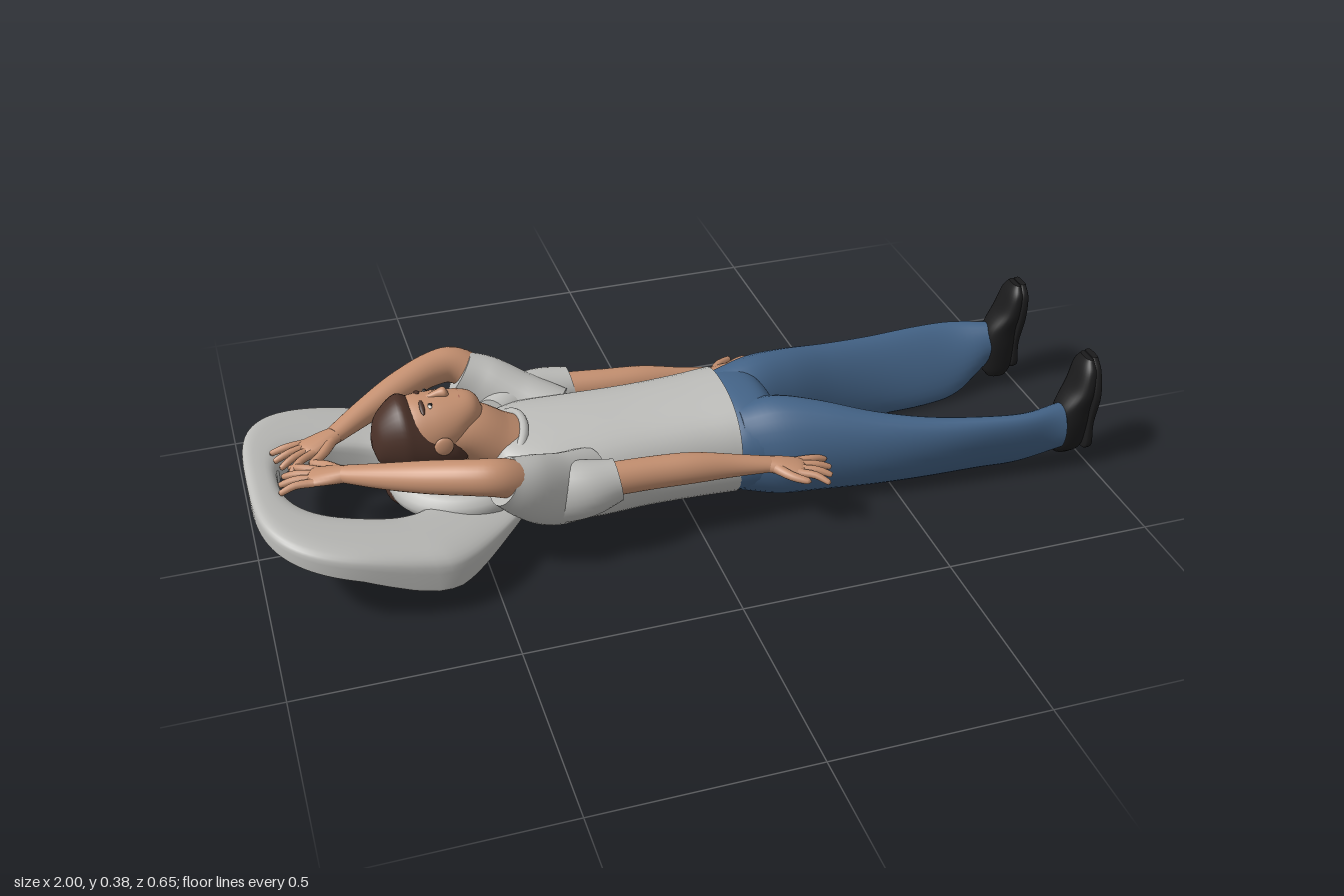
import * as THREE from 'three';

const paint = (name, color) => {
  const m = new THREE.MeshStandardMaterial({ color });
  m.name = name;
  return m;
};

export function createModel() {
  const model = new THREE.Group();
  model.name = 'recliningMan';
  const shirt = paint('light grey', 0xbdbdba), skin = paint('skin', 0xc69171);
  const denim = paint('denim blue', 0x446488), hair = paint('brown hair', 0x4a3128);
  const black = paint('shoe black', 0x1b1b1c), lip = paint('lip', 0xa86a58);
  const white = paint('eye white', 0xdcd6cf);
  const X = new THREE.Vector3(1, 0, 0), Y = new THREE.Vector3(0, 1, 0);

  function add(name, geometry, material, parent = model) {
    const mesh = new THREE.Mesh(geometry, material);
    mesh.name = name;
    parent.add(mesh);
    return mesh;
  }

  // Smooth skin through cross-sections [x, y, z, half height, half width, sideways lean].
  function loft(rows, { axis = null, up = Y, pow = 1, n = 28, steps = 6 } = {}) {
    const path = new THREE.CatmullRomCurve3(rows.map(r => new THREE.Vector3(r[0], r[1], r[2])), false, 'catmullrom');
    const size = new THREE.CatmullRomCurve3(rows.map(r => new THREE.Vector3(r[3], r[4], r[5] || 0)), false, 'catmullrom');
    const count = (rows.length - 1) * steps, pos = [], idx = [];
    const bend = v => Math.sign(v) * Math.abs(v) ** pow;
    for (let i = 0; i <= count; i++) {
      const c = path.getPoint(i / count), r = size.getPoint(i / count);
      const t = axis || path.getTangent(i / count);
      const side = t.clone().cross(up).normalize(), top = side.clone().cross(t).normalize();
      for (let j = 0; j < n; j++) {
        const a = j / n * Math.PI * 2, h = bend(Math.sin(a));
        const p = c.clone().addScaledVector(side, bend(Math.cos(a)) * r.y).addScaledVector(top, h * r.x);
        pos.push(p.x, p.y, p.z + h * r.z);
        if (i < count) {
          const k = i * n + j, l = i * n + (j + 1) % n;
          idx.push(k, k + n, l, l, k + n, l + n);
        }
      }
    }
    // End caps have their own rings so the rims stay crisp.
    for (const end of [0, 1]) {
      const first = pos.length / 3, from = end * count * n;
      for (let j = 0; j < n; j++) pos.push(...pos.slice((from + j) * 3, (from + j) * 3 + 3));
      const c = path.getPoint(end);
      pos.push(c.x, c.y, c.z);
      for (let j = 0; j < n; j++) {
        const a = first + j, b = first + (j + 1) % n;
        idx.push(first + n, end ? b : a, end ? a : b);
      }
    }
    const g = new THREE.BufferGeometry();
    g.setAttribute('position', new THREE.Float32BufferAttribute(pos, 3));
    g.setIndex(idx);
    g.computeVertexNormals();
    return g;
  }

  function blob(name, material, p, r) {
    const m = add(name, new THREE.SphereGeometry(1, 20, 14), material);
    m.position.set(...p);
    m.scale.set(...r);
    return m;
  }

  // Palm with four fanned fingers and a thumb, pointing along (dx, dz).
  function hand(name, p, dx, dz, pitch, thumb) {
    const g = new THREE.Group();
    g.name = name;
    g.position.set(...p);
    g.rotation.order = 'YXZ';
    g.rotation.set(0, Math.atan2(-dz, dx), pitch);
    model.add(g);
    add('palm', loft([[-0.01, 0, 0, 0.018, 0.021], [0.03, 0, 0, 0.017, 0.03], [0.07, 0, 0, 0.013, 0.034],
      [0.085, 0, 0, 0.006, 0.026]], { axis: X, n: 16, steps: 4 }), skin, g);
    for (let i = 0; i < 4; i++) {
      const k = i - 1.5, len = 0.08 - 0.008 * Math.abs(k);
      add('finger', loft([[0.065, 0, k * 0.016, 0.01, 0.01], [0.07 + len * 0.5, 0.004, k * 0.023, 0.009, 0.009],
        [0.066 + len, -0.003, k * 0.032, 0.007, 0.007], [0.07 + len, -0.004, k * 0.033, 0.002, 0.002]], { n: 10, steps: 3 }), skin, g);
    }
    add('thumb', loft([[0.015, 0, thumb * 0.015, 0.013, 0.013], [0.05, 0, thumb * 0.042, 0.011, 0.011],
      [0.085, 0, thumb * 0.055, 0.008, 0.008], [0.09, 0, thumb * 0.056, 0.002, 0.002]], { n: 10, steps: 3 }), skin, g);
  }

  // Ring cushion: rounded-square outline, flat below, sloping down towards the shoulders.
  const lerpAt = (table, x) => {
    const i = Math.max(1, table.findIndex(r => r[0] >= x)), [a, b] = [table[i - 1], table[i]];
    return THREE.MathUtils.lerp(a[1], b[1], (x - a[0]) / (b[0] - a[0]));
  };
  const under = [[-1.01, 0.19], [-0.8, 0.13], [-0.7, 0.085], [-0.65, 0.068], [-0.58, 0.064], [-0.45, 0.09], [-0.3, 0.1]];
  const around = 96, across = 32, pos = [], idx = [];
  const sq = (v, e) => Math.sign(v) * Math.abs(v) ** e;
  for (let i = 0; i < around; i++) {
    const a = i / around * Math.PI * 2, c = Math.cos(a), s = Math.sin(a);
    const ox = -0.69 + 0.31 * sq(c, 0.65);
    const oz = 0.325 * sq(s, 0.6) * (1 - 0.35 * THREE.MathUtils.smoothstep(ox, -0.62, -0.38));
    const ix = -0.76 + 0.17 * sq(c, 0.8), iz = 0.148 * sq(s, 0.8);
    for (let j = 0; j < across; j++) {
      const b = j / across * Math.PI * 2, e = Math.sin(b) < 0 ? 0.12 : 0.7;
      const t = 0.5 + 0.5 * sq(Math.cos(b), e);
      const x = ix + (ox - ix) * t, z = iz + (oz - iz) * t;
      const top = 0.13 + 0.2 * (-0.45 - x), low = lerpAt(under, x);
      pos.push(x, (top + low) / 2 + (top - low) / 2 * sq(Math.sin(b), e), z);
      const k = i * across + j, l = i * across + (j + 1) % across, w = around * across;
      idx.push(k, l, (k + across) % w, l, (l + across) % w, (k + across) % w);
    }
  }
  const ring = new THREE.BufferGeometry();
  ring.setAttribute('position', new THREE.Float32BufferAttribute(pos, 3));
  ring.setIndex(idx);
  ring.computeVertexNormals();
  add('ringCushion', ring, shirt);

  // Crescent bolster around the back of the head.
  const bolster = add('headBolster', new THREE.TorusGeometry(0.125, 0.045, 14, 48), shirt);
  bolster.rotation.x = Math.PI / 2;
  bolster.position.set(-0.52, 0.145, 0);
  bolster.scale.set(1, 1, 0.8);
  blob('napeSupport', skin, [-0.57, 0.16, 0], [0.11, 0.058, 0.075]);
  blob('napeHair', hair, [-0.62, 0.135, 0], [0.075, 0.048, 0.065]);

  // Shirt body and collar
  add('shirtBody', loft([[-0.45, 0.17, 0, 0.06, 0.09], [-0.42, 0.165, 0, 0.085, 0.14], [-0.35, 0.15, 0, 0.108, 0.175],
    [-0.24, 0.138, 0, 0.125, 0.17], [-0.1, 0.138, 0, 0.128, 0.158], [0.02, 0.139, 0, 0.132, 0.158],
    [0.115, 0.141, 0, 0.136, 0.164]], { axis: X, pow: 0.85, n: 40 }), shirt);
  const collar = add('collar', new THREE.TorusGeometry(0.077, 0.011, 10, 40), shirt);
  collar.rotation.set(0, Math.PI / 2, -0.75, 'ZYX');
  collar.position.set(-0.415, 0.212, 0);
  collar.scale.set(1.1, 0.9, 1);

  // Neck and head, face turned up
  add('neck', loft([[-0.58, 0.265, 0, 0.055, 0.068], [-0.5, 0.263, 0, 0.064, 0.07], [-0.43, 0.222, 0, 0.064, 0.073],
    [-0.36, 0.19, 0, 0.06, 0.078]]), skin);
  add('head', loft([[-0.7, 0.27, 0, 0.025, 0.025], [-0.68, 0.275, 0, 0.062, 0.054], [-0.63, 0.28, 0, 0.085, 0.075],
    [-0.58, 0.285, 0, 0.084, 0.079], [-0.53, 0.298, 0, 0.068, 0.069], [-0.49, 0.314, 0, 0.046, 0.048],
    [-0.47, 0.314, 0, 0.03, 0.03], [-0.46, 0.31, 0, 0.008, 0.008]], { axis: X, n: 36 }), skin);
  add('hair', loft([[-0.715, 0.27, 0, 0.015, 0.015], [-0.7, 0.273, 0, 0.058, 0.05], [-0.655, 0.28, 0, 0.093, 0.079],
    [-0.62, 0.27, 0, 0.091, 0.086], [-0.575, 0.254, 0, 0.073, 0.086], [-0.53, 0.242, 0, 0.052, 0.076],
    [-0.5, 0.235, 0, 0.03, 0.05]], { axis: X, n: 36 }), hair);
  add('nose', loft([[-0.587, 0.362, 0, 0.006, 0.007], [-0.56, 0.37, 0, 0.009, 0.01], [-0.543, 0.371, 0, 0.012, 0.014],
    [-0.534, 0.364, 0, 0.006, 0.008]], { axis: X, n: 14 }), skin);
  blob('mouth', lip, [-0.513, 0.36, 0], [0.006, 0.004, 0.02]);
  for (const s of [1, -1]) {
    blob('eye', white, [-0.582, 0.3605, s * 0.031], [0.005, 0.004, 0.012]);
    blob('iris', black, [-0.581, 0.363, s * 0.031], [0.005, 0.003, 0.006]);
    blob('eyebrow', hair, [-0.6, 0.36, s * 0.033], [0.006, 0.004, 0.021]).rotation.x = s * 0.4;
    blob('ear', skin, [-0.565, 0.28, s * 0.082], [0.022, 0.023, 0.008]);
  }

  for (const s of [1, -1]) {
    // Arm folded overhead
    add('raisedSleeve', loft([[-0.26, 0.155, s * 0.14, 0.085, 0.068], [-0.34, 0.187, s * 0.187, 0.085, 0.064],
      [-0.41, 0.234, s * 0.222, 0.074, 0.058], [-0.465, 0.268, s * 0.236, 0.056, 0.05]]), shirt);
    add('raisedArm', loft([[-0.4, 0.24, s * 0.22, 0.042, 0.042], [-0.47, 0.284, s * 0.245, 0.044, 0.041],
      [-0.53, 0.291, s * 0.235, 0.041, 0.039], [-0.62, 0.281, s * 0.19, 0.037, 0.037],
      [-0.71, 0.266, s * 0.135, 0.029, 0.03], [-0.79, 0.252, s * 0.08, 0.019, 0.023]]), skin);
    hand('raisedHand', [-0.79, 0.252, s * 0.08], -1, -s * 0.35, -0.13, s);
    // Arm resting along the body
    add('loweredSleeve', loft([[-0.41, 0.185, s * 0.13, 0.055, 0.052], [-0.36, 0.18, s * 0.175, 0.077, 0.062],
      [-0.28, 0.187, s * 0.205, 0.07, 0.06], [-0.2, 0.198, s * 0.208, 0.05, 0.046]]), shirt);
    add('loweredArm', loft([[-0.26, 0.2, s * 0.204, 0.04, 0.038], [-0.12, 0.192, s * 0.198, 0.039, 0.036],
      [-0.02, 0.185, s * 0.198, 0.037, 0.034], [0.08, 0.172, s * 0.2, 0.027, 0.026],
      [0.165, 0.162, s * 0.206, 0.018, 0.022]]), skin);
    hand('loweredHand', [0.165, 0.162, s * 0.206], 1, s * 0.28, -0.13, s);

    // Trouser leg, leaning inwards below, and upright shoe
    add('trouserLeg', loft([[0.13, 0.134, s * 0.08, 0.11, 0.08], [0.22, 0.136, s * 0.097, 0.125, 0.09, -s * 0.005],
      [0.32, 0.128, s * 0.118, 0.121, 0.082, s * 0.004], [0.45, 0.112, s * 0.149, 0.107, 0.066, s * 0.016],
      [0.58, 0.101, s * 0.17, 0.098, 0.054, s * 0.028], [0.72, 0.096, s * 0.185, 0.094, 0.044, s * 0.038],
      [0.82, 0.098, s * 0.196, 0.087, 0.041, s * 0.032], [0.915, 0.121, s * 0.205, 0.06, 0.041]], { axis: X }), denim);
    add('shoe', loft([[0.945, 0.035, s * 0.185, 0.026, 0.018], [0.945, 0.06, s * 0.193, 0.041, 0.032],
      [0.945, 0.12, s * 0.197, 0.045, 0.041], [0.949, 0.17, s * 0.198, 0.041, 0.044], [0.965, 0.22, s * 0.196, 0.028, 0.049],
      [0.973, 0.27, s * 0.192, 0.02, 0.043], [0.976, 0.298, s * 0.19, 0.01, 0.024]], { axis: Y, up: X, pow: 0.85 }), black);
    add('sole', loft([[0.986, 0.055, s * 0.2, 0.01, 0.028], [0.988, 0.07, s * 0.2, 0.012, 0.036],
      [0.985, 0.13, s * 0.2, 0.009, 0.039], [0.986, 0.21, s * 0.197, 0.012, 0.053], [0.988, 0.27, s * 0.19, 0.011, 0.044],
      [0.988, 0.301, s * 0.188, 0.008, 0.022]], { axis: Y, up: X, pow: 0.5 }), black);
  }

  // Hips joining both legs, rounded off at the crotch
  add('trouserHips', loft([[0.1, 0.13, 0, 0.12, 0.16], [0.14, 0.134, 0, 0.124, 0.168], [0.19, 0.135, 0, 0.121, 0.17],
    [0.22, 0.133, 0, 0.107, 0.14], [0.24, 0.132, 0, 0.075, 0.085], [0.248, 0.13, 0, 0.015, 0.02]],
  { axis: X, pow: 0.88, n: 40 }), denim);

  return model;
}
